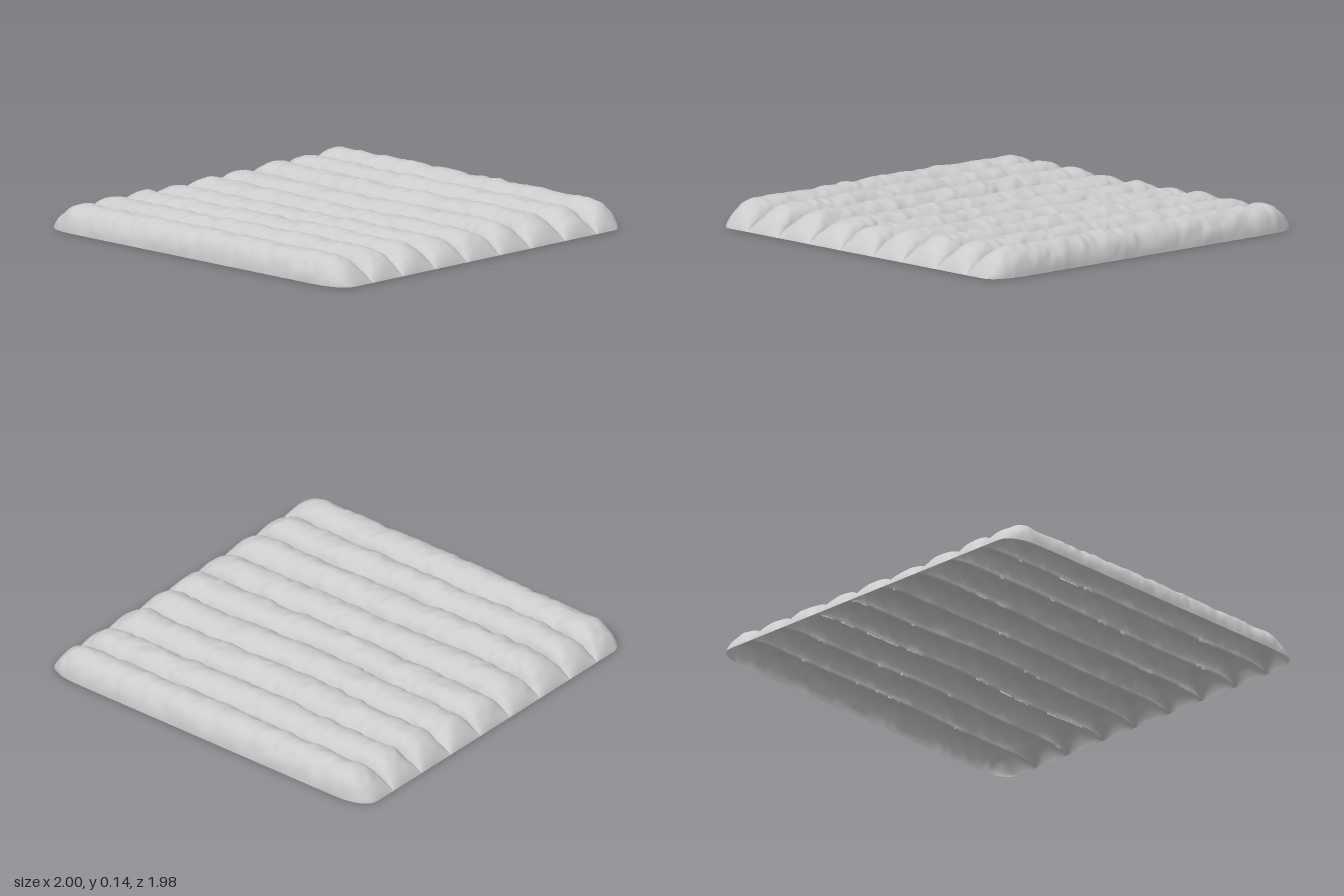
import * as THREE from 'three';

const COLS = 220, ROWS = 22, RIDGES = 9;

// Furrow lines between the ridges: z at x = -1, -0.5, 0, 0.5, 1
const furrows = [
  [-0.77, -0.775, -0.765, -0.78, -0.775],
  [-0.56, -0.56, -0.54, -0.56, -0.56],
  [-0.34, -0.33, -0.31, -0.34, -0.32],
  [-0.115, -0.11, -0.08, -0.11, -0.11],
  [0.11, 0.115, 0.12, 0.11, 0.115],
  [0.335, 0.35, 0.33, 0.335, 0.335],
  [0.56, 0.57, 0.56, 0.545, 0.56],
  [0.765, 0.77, 0.77, 0.765, 0.77],
].map(zs => new THREE.SplineCurve(zs.map((z, i) => new THREE.Vector2(i / 2 - 1, z))));
const heights = [0.133, 0.132, 0.132, 0.123, 0.122, 0.121, 0.13, 0.132, 0.131];

// Smooth seeded value noise in the range -1..1
function hash(i, j, seed) {
  let n = Math.imul(i, 374761393) + Math.imul(j, 668265263) + Math.imul(seed, 974634777);
  n = Math.imul(n ^ (n >>> 13), 1274126177);
  return ((n ^ (n >>> 16)) >>> 0) / 2147483648 - 1;
}
function noise(x, y, seed) {
  const i = Math.floor(x), j = Math.floor(y);
  const s = t => t * t * (3 - 2 * t), u = s(x - i), v = s(y - j), mix = THREE.MathUtils.lerp;
  return mix(mix(hash(i, j, seed), hash(i + 1, j, seed), u),
    mix(hash(i, j + 1, seed), hash(i + 1, j + 1, seed), u), v);
}
const lumps = (x, s, seed) => 0.6 * noise(x * 13, s * 4, seed) + 0.4 * noise(x * 28, s * 8, seed + 1);

// Outer edge of the plot, with rounded corners
function edgeZ(x) {
  const t = Math.max(0, (Math.abs(x) - 0.75) / 0.25);
  return 0.99 - 0.1 * (1 - Math.pow(1 - Math.pow(t, 3), 1 / 2.2));
}
function furrowZ(k, x) {
  if (k === 0) return -edgeZ(x);
  if (k === RIDGES) return edgeZ(x);
  return furrows[k - 1].getPoint((x + 1) / 2).y;
}

export function createModel() {
  const group = new THREE.Group();
  group.name = 'ploughedPlot';

  // One open sheet of soil, its rows bent into nine rounded ridges
  const geo = new THREE.PlaneGeometry(2, 2, COLS, RIDGES * ROWS);
  const pos = geo.attributes.position;
  for (let c = 0; c <= COLS; c++) {
    const u = c / COLS * 2 - 1;
    const x = 0.5 * u + 0.5 * Math.sin(u * Math.PI / 2); // columns closer at the ends
    const d = 1 - Math.abs(x);
    const end = Math.pow(1 - Math.pow(1 - Math.min(1, d / 0.2), 2.6), 0.85); // sloping ends
    const fade = Math.min(1, d / 0.06);
    const lines = Array.from({ length: RIDGES + 1 }, (_, k) => furrowZ(k, x));
    for (let r = 0; r <= RIDGES * ROWS; r++) {
      const k = Math.min(RIDGES - 1, Math.floor(r / ROWS));
      const a = (r - k * ROWS) / ROWS * Math.PI;
      const mid = (lines[k] + lines[k + 1]) / 2, half = (lines[k + 1] - lines[k]) / 2;
      const arch = Math.sin(a), s = r / ROWS;
      // Furrow floors sit a little above ground; the outer edges touch it
      const outer = (k === 0 && a < Math.PI / 2) || (k === RIDGES - 1 && a > Math.PI / 2);
      const floor = outer ? 0 : 0.022;
      const bump = 0.010 * lumps(x, s, 5) * fade * Math.min(1, arch * 1.6);
      const y = (floor + (heights[k] - floor) * arch) * end + bump * (0.35 + 0.65 * arch);
      const z = mid - Math.cos(a) * (half + bump);
      pos.setXYZ(r * (COLS + 1) + c, x, Math.max(0, y), z);
    }
  }
  geo.computeVertexNormals();

  const soil = new THREE.Mesh(geo, new THREE.MeshStandardMaterial({ color: 0xcccccc, side: THREE.DoubleSide }));
  soil.name = 'soilRidges';
  group.add(soil);
  return group;
}
